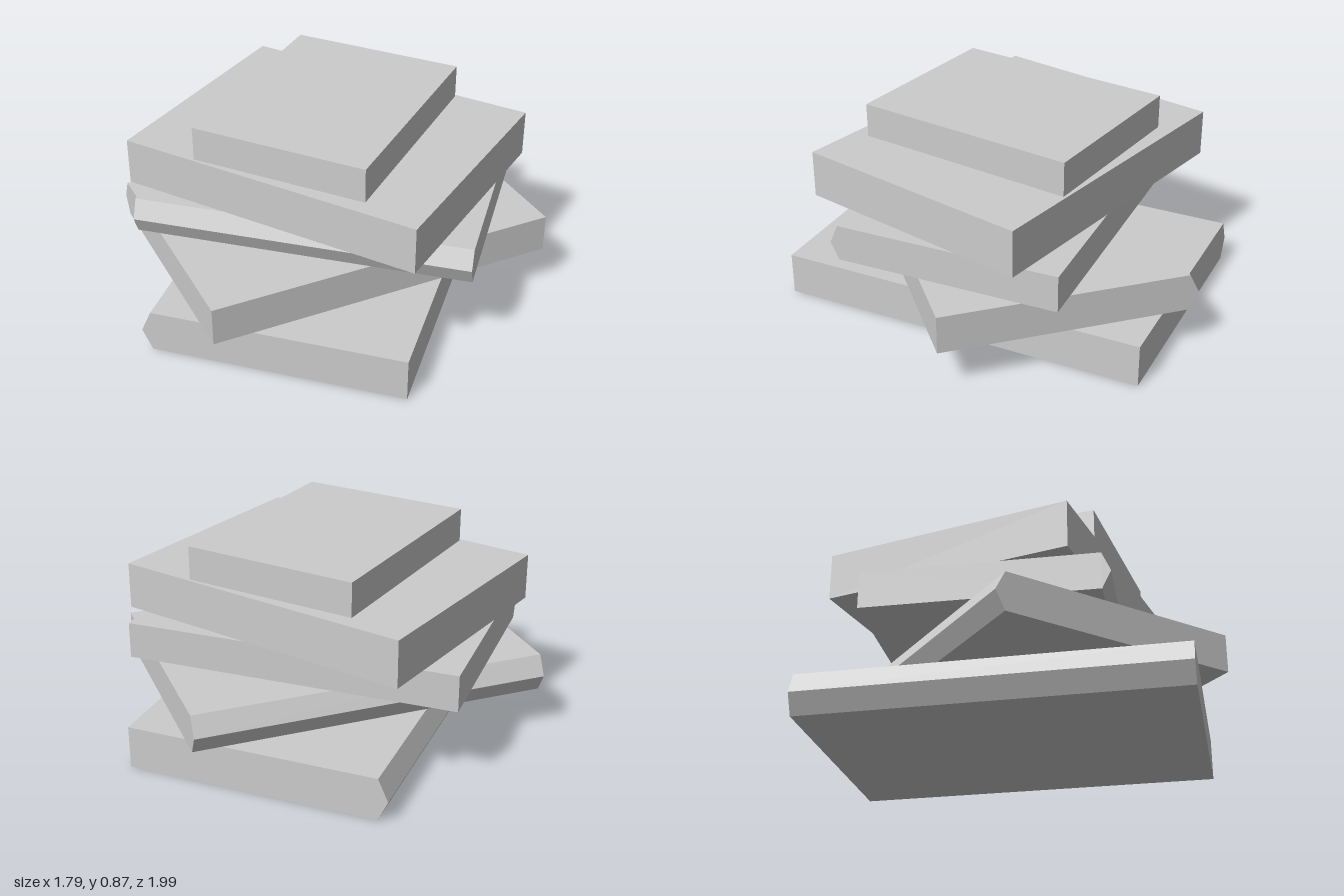
import * as THREE from 'three';

const material = new THREE.MeshStandardMaterial({ color: 0xcccccc, flatShading: true });

// A flat book: pointed spine on its local -x side when spine > 0, square otherwise.
function book({ name, y0, y1, width, length, turn, spine }) {
  const w = width / 2;
  const section = new THREE.Shape();
  section.moveTo(-w + spine, y0);
  section.lineTo(w, y0);
  section.lineTo(w, y1);
  section.lineTo(-w + spine, y1);
  if (spine > 0) section.lineTo(-w, (y0 + y1) / 2 - 0.003);
  section.closePath();

  const geometry = new THREE.ExtrudeGeometry(section, { depth: length, bevelEnabled: false });
  geometry.translate(0, 0, -length / 2);
  const mesh = new THREE.Mesh(geometry, material);
  mesh.name = name;
  mesh.rotation.y = turn;
  return mesh;
}

export function createModel() {
  const stack = new THREE.Group();
  stack.name = 'bookStack';

  // Bottom to top, each turned its own way
  const books = [
    { name: 'bottomBook', y0: 0, y1: 0.187, width: 1.14, length: 1.64, turn: 0.507, spine: 0.043 },
    { name: 'secondBook', y0: 0.187, y1: 0.353, width: 1.107, length: 1.561, turn: -0.322, spine: 0.043 },
    { name: 'middleBook', y0: 0.353, y1: 0.512, width: 1.014, length: 1.453, turn: 2.105, spine: 0.037 },
    { name: 'fourthBook', y0: 0.512, y1: 0.716, width: 1.374, length: 1.075, turn: 0.281, spine: 0 },
    { name: 'topBook', y0: 0.716, y1: 0.865, width: 0.778, length: 0.994, turn: 0.358, spine: 0 },
  ];
  for (const spec of books) stack.add(book(spec));
  return stack;
}
